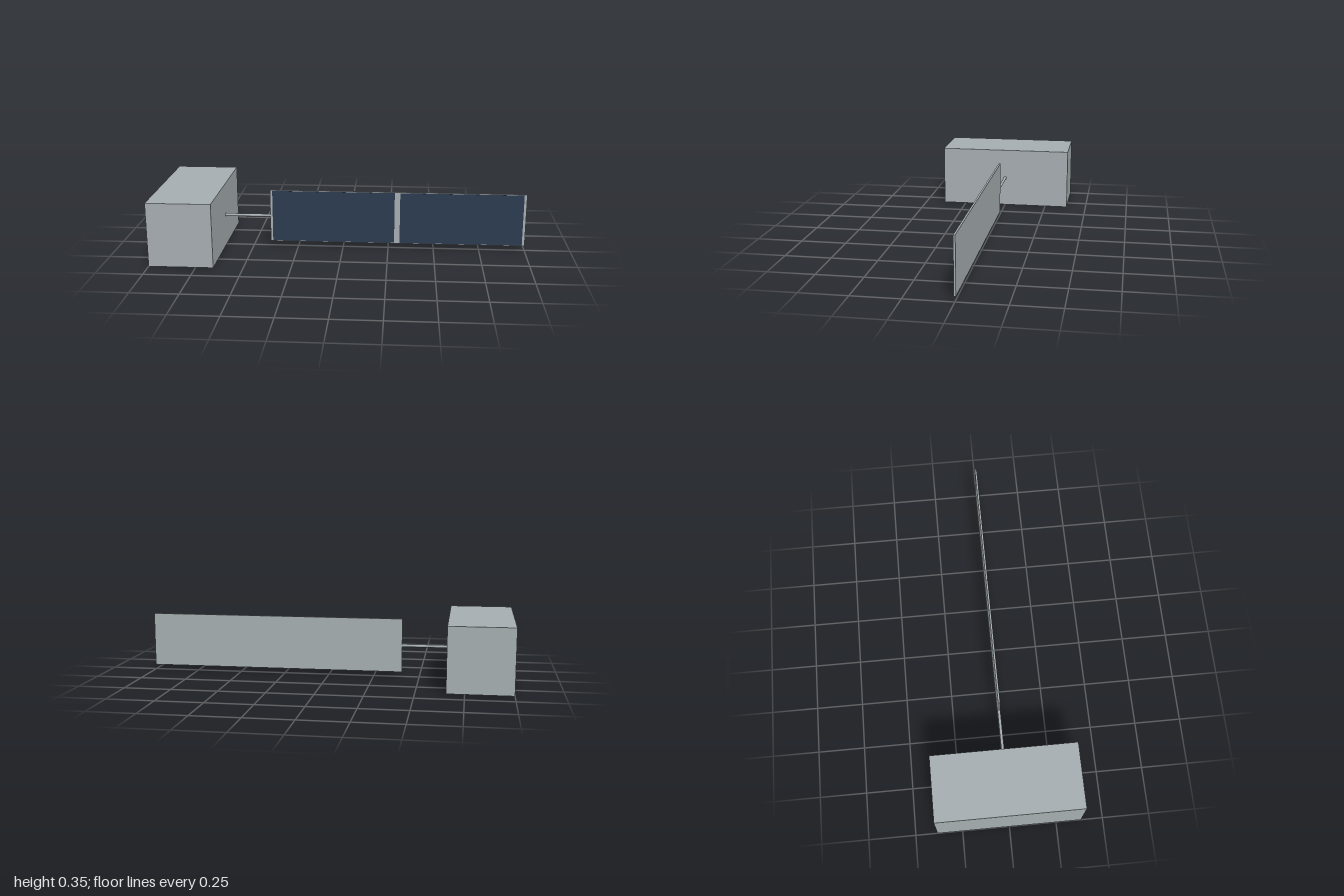
import * as THREE from 'three';

export function createModel() {
  const model = new THREE.Group();
  model.name = 'satelliteSolarWing';

  const metal = new THREE.MeshStandardMaterial({ color: 0xa5adb0 });
  metal.name = 'light grey metal';
  const solar = new THREE.MeshStandardMaterial({ color: 0x2c3b4f });
  solar.name = 'dark blue cells';

  const midY = 0.173;

  // Box given by its x range, height, depth and centre z
  function addBox(name, x0, x1, height, depth, z, material) {
    const mesh = new THREE.Mesh(new THREE.BoxGeometry(x1 - x0, height, depth), material);
    mesh.position.set((x0 + x1) / 2, midY, z);
    mesh.name = name;
    model.add(mesh);
  }

  // Main body and panel backing
  addBox('body', -1, -0.657, 2 * midY, 0.768, 0, metal);
  addBox('panelFrame', -0.405, 1, 0.294, 0.01, 0, metal);

  // Two cell fields on the front of the panel
  addBox('innerCells', -0.392, 0.283, 0.286, 0.001, 0.0055, solar);
  addBox('outerCells', 0.313, 0.985, 0.286, 0.001, 0.0055, solar);

  // Round boom joining body and panel
  const boom = new THREE.Mesh(new THREE.CylinderGeometry(0.008, 0.008, 0.252, 16), metal);
  boom.rotation.z = Math.PI / 2;
  boom.position.set(-0.531, midY, 0);
  boom.name = 'boom';
  model.add(boom);

  return model;
}
